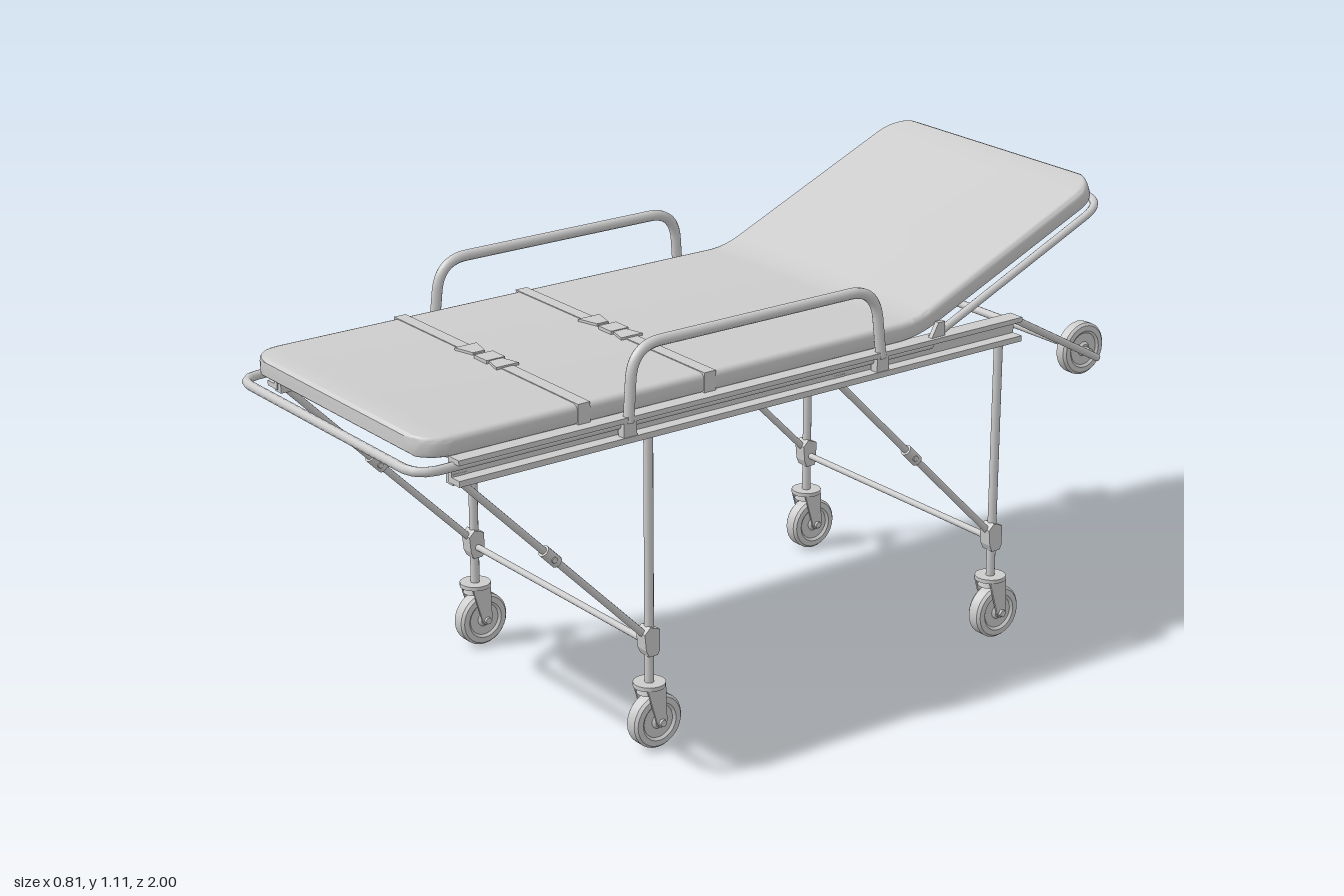
import * as THREE from 'three';
import { toCreasedNormals } from 'three/addons/utils/BufferGeometryUtils.js';

const material = new THREE.MeshStandardMaterial({ color: 0xcccccc, side: THREE.DoubleSide });
const V = (x, y, z) => new THREE.Vector3(x, y, z);
const TILT = 0.41, HINGE = -0.38, TOP = 0.875, BACK = 0.615;

function add(parent, name, geometry, x = 0, y = 0, z = 0) {
  const mesh = new THREE.Mesh(geometry, material);
  mesh.name = name;
  mesh.position.set(x, y, z);
  parent.add(mesh);
  return mesh;
}
const box = (parent, name, w, h, d, x, y, z) => add(parent, name, new THREE.BoxGeometry(w, h, d), x, y, z);

// Capped straight rod between two points
function rod(parent, name, a, b, r, sides = 12) {
  const mesh = add(parent, name, new THREE.CylinderGeometry(r, r, a.distanceTo(b), sides));
  mesh.position.copy(a).lerp(b, 0.5);
  mesh.quaternion.setFromUnitVectors(V(0, 1, 0), b.clone().sub(a).normalize());
  return mesh;
}

// Bent tube through points, with rounded corners
function bentTube(parent, name, pts, corner, r) {
  const path = new THREE.CurvePath();
  let from = pts[0];
  for (let i = 1; i < pts.length - 1; i++) {
    const p = pts[i];
    const a = p.clone().add(pts[i - 1].clone().sub(p).setLength(corner));
    const b = p.clone().add(pts[i + 1].clone().sub(p).setLength(corner));
    path.add(new THREE.LineCurve3(from, a));
    path.add(new THREE.QuadraticBezierCurve3(a, p, b));
    from = b;
  }
  path.add(new THREE.LineCurve3(from, pts[pts.length - 1]));
  return add(parent, name, new THREE.TubeGeometry(path, 140, r, 10));
}

// Flat outline in (z, y), given thickness along x and centred on x = 0
function plate(points, thickness) {
  const shape = new THREE.Shape(points.map(([z, y]) => new THREE.Vector2(-z, y)));
  return new THREE.ExtrudeGeometry(shape, { depth: thickness, bevelEnabled: false })
    .translate(0, 0, -thickness / 2).rotateY(Math.PI / 2);
}

// Point on the bed profile: s is distance from the hinge (positive toward the raised back), d is depth below the top
function bedPoint(s, d) {
  const soft = 0.05;
  const t = THREE.MathUtils.clamp((s + soft) / (2 * soft), 0, 1);
  const a = TILT * t;
  let y = TOP, z = HINGE - s;
  if (s > -soft) {
    const along = t * soft * t;
    const rest = Math.max(s - soft, 0);
    y += Math.sin(TILT) * (along + rest);
    z = HINGE + soft - (2 * soft * t - along) - Math.cos(TILT) * (along + rest);
  }
  return [y - d * Math.cos(a), z - d * Math.sin(a)];
}

// Mattress: a rounded section swept along the bed profile, narrowing round the end corners
function mattressGeometry() {
  const R = 0.075, half = 0.37, H = 0.046, s0 = HINGE - 0.965, s1 = BACK;
  const side = [[0.014, 0], [0.007, 0.002], [0.002, 0.007], [0, 0.014], [0, 0.038], [0.003, 0.043], [0.008, H]];
  const section = [...side.map(p => [1, ...p]), ...side.slice().reverse().map(p => [-1, ...p])];
  const ends = [0, 0.003, 0.008, 0.016, 0.027, 0.04, 0.056, R];
  const stations = [...ends.map(e => s0 + e)];
  for (let i = 0; i <= 10; i++) stations.push(-0.05 + i * 0.01);
  stations.push(...ends.slice().reverse().map(e => s1 - e));
  const pos = [], idx = [], n = section.length;
  stations.forEach(s => {
    const e = Math.min(s - s0, s1 - s, R);
    const w = half - R + Math.sqrt(R * R - (R - e) ** 2);
    const pinch = Math.max(0, 0.008 - e) * 0.8;
    for (const [sx, inset, d] of section) {
      const [y, z] = bedPoint(s, THREE.MathUtils.clamp(d, pinch, H - pinch));
      pos.push(sx * (w - inset), y, z);
    }
  });
  for (let k = 0; k < stations.length - 1; k++)
    for (let i = 0; i < n; i++) {
      const a = k * n + i, b = k * n + (i + 1) % n;
      idx.push(a, a + n, b, b, a + n, b + n);
    }
  const last = (stations.length - 1) * n;
  for (let i = 1; i < n - 1; i++) idx.push(0, i, i + 1, last, last + i + 1, last + i);
  const g = new THREE.BufferGeometry();
  g.setAttribute('position', new THREE.Float32BufferAttribute(pos, 3));
  g.setIndex(idx);
  return toCreasedNormals(g, 0.6);
}

// Wheel with rounded tread and dished hub, axle along x
function wheelGeometry(radius, width) {
  const h = width / 2;
  const half = [[0.012, h], [0.018, h * 0.7], [0.04, h * 0.7], [0.046, h * 0.95], [radius - 0.008, h * 0.9], [radius - 0.002, h * 0.6]];
  const profile = [[0, h], ...half, ...half.slice().reverse().map(([r, y]) => [r, -y]), [0, -h]];
  const g = new THREE.LatheGeometry(profile.reverse().map(([r, y]) => new THREE.Vector2(r, y)), 28);
  return toCreasedNormals(g.rotateZ(Math.PI / 2), 0.5);
}

function caster(x, z) {
  const g = new THREE.Group();
  g.name = 'caster';
  g.position.set(x, 0, z);
  rod(g, 'casterStem', V(0, 0.15, 0), V(0, 0.25, 0), 0.011);
  add(g, 'swivelPlate', new THREE.CylinderGeometry(0.038, 0.038, 0.01, 20), 0, 0.16, 0);
  add(g, 'swivelCup', new THREE.CylinderGeometry(0.026, 0.03, 0.016, 20), 0, 0.147, 0);
  for (const s of [-1, 1]) {
    const outline = [[0.025, 0.155], [-0.025, 0.155], [-0.028, 0.07], [-0.02, 0.058], [-0.008, 0.058], [0, 0.07]];
    add(g, 'fork', plate(outline, 0.005), s * 0.028, 0, 0);
    rod(g, 'axleNut', V(s * 0.03, 0.07, -0.013), V(s * 0.038, 0.07, -0.013), 0.009, 6);
  }
  rod(g, 'axle', V(-0.034, 0.07, -0.013), V(0.034, 0.07, -0.013), 0.006);
  add(g, 'casterWheel', wheelGeometry(0.068, 0.046), 0, 0.068, -0.013);
  return g;
}

export function createModel() {
  const model = new THREE.Group();
  model.name = 'wheeledStretcher';
  add(model, 'mattress', mattressGeometry());

  // Straps with buckles
  for (const z of [0.22, 0.56]) {
    box(model, 'strap', 0.744, 0.049, 0.032, 0, 0.8525, z);
    box(model, 'buckle', 0.05, 0.008, 0.05, 0.005, 0.879, z);
    for (const s of [-1, 1]) {
      const tab = new THREE.Shape([[0.03, -0.016], [0.085, -0.03], [0.085, 0.03], [0.03, 0.016]].map(p => new THREE.Vector2(...p)));
      const g = new THREE.ExtrudeGeometry(tab, { depth: 0.006, bevelEnabled: false }).rotateX(-Math.PI / 2);
      add(model, 'buckleTab', g, -0.008, 0.875, z).rotation.y = s > 0 ? 0 : Math.PI;
    }
  }

  // Slats under the bed and under the raised back
  for (let i = 0; i < 9; i++) box(model, 'bedSlat', 0.73, 0.008, 0.035, 0, 0.826, 0.88 - i * 0.15);
  for (let i = 0; i < 5; i++) {
    const [y, z] = bedPoint(0.09 + i * 0.115, 0.05);
    box(model, 'backSlat', 0.7, 0.008, 0.035, 0, y, z).rotation.x = TILT;
  }

  // Bed frame and backrest frame loops
  bentTube(model, 'bedFrame', [V(-0.376, 0.81, -0.42), V(-0.376, 0.81, 0.988), V(0.376, 0.81, 0.988), V(0.376, 0.81, -0.42)], 0.06, 0.011);
  bentTube(model, 'backrestFrame', [V(-0.378, 0.825, -0.42), V(-0.378, 1.062, -0.957), V(0.378, 1.062, -0.957), V(0.378, 0.825, -0.42)], 0.07, 0.01);

  // Channel rail section, opening outward
  const channel = new THREE.Shape([[0.358, 0.77], [0.4, 0.77], [0.4, 0.784], [0.37, 0.784], [0.37, 0.818], [0.4, 0.818], [0.4, 0.83], [0.358, 0.83]]
    .map(p => new THREE.Vector2(...p)));
  const railGeometry = new THREE.ExtrudeGeometry(channel, { depth: 1.585, bevelEnabled: false }).translate(0, 0, -0.685);
  const mirroredRail = railGeometry.clone().rotateZ(Math.PI).translate(0, 1.6, 0);

  for (const s of [-1, 1]) {
    add(model, 'sideRail', s > 0 ? railGeometry : mirroredRail);
    add(model, 'backrestHinge', plate([[-0.405, 0.82], [-0.45, 0.82], [-0.45, 0.865], [-0.43, 0.865]], 0.012), s * 0.385, 0, 0);

    // Guard rail
    bentTube(model, 'guardRail', [V(s * 0.39, 0.815, 0.456), V(s * 0.384, 0.984, 0.44), V(s * 0.384, 0.984, -0.242), V(s * 0.39, 0.815, -0.258)], 0.075, 0.013);
    for (const z of [0.456, -0.258]) box(model, 'guardRailSocket', 0.022, 0.05, 0.035, s * 0.387, 0.805, z);

    // Legs, folding braces and casters
    for (const z of [0.38, -0.65]) {
      const x = s * 0.358, foot = V(x, 0.28, z + 0.01), head = V(x, 0.778, z + 0.505);
      rod(model, 'leg', V(x, 0.25, z), V(x, 0.785, z), 0.011);
      const joint = [[0.024, 0.29], [0.008, 0.305], [-0.018, 0.295], [-0.018, 0.245], [-0.012, 0.233], [0.012, 0.233], [0.02, 0.25]];
      add(model, 'legJoint', plate(joint, 0.034), x, 0, z);
      rod(model, 'foldingBrace', foot, head, 0.0085);
      rod(model, 'braceCollar', foot.clone().lerp(head, 0.48), foot.clone().lerp(head, 0.55), 0.014);
      rod(model, 'bracePivot', V(x - 0.016, 0.532, z + 0.263), V(x + 0.016, 0.532, z + 0.263), 0.007);
      box(model, 'braceBracket', 0.026, 0.025, 0.035, x, 0.777, z + 0.5);
      model.add(caster(x, z));
    }

    // Loading wheel on its arm
    rod(model, 'loadingArm', V(s * 0.377, 0.82, -0.68), V(s * 0.377, 0.665, -0.96), 0.009);
    add(model, 'loadingWheel', wheelGeometry(0.067, 0.038), s * 0.342, 0.688, -0.932);
  }

  // Cross bars
  rod(model, 'loadingAxle', V(-0.38, 0.686, -0.93), V(0.38, 0.686, -0.93), 0.01);
  for (const z of [0.38, -0.65]) rod(model, 'legCrossBar', V(-0.358, 0.26, z), V(0.358, 0.26, z), 0.008);
  return model;
}
